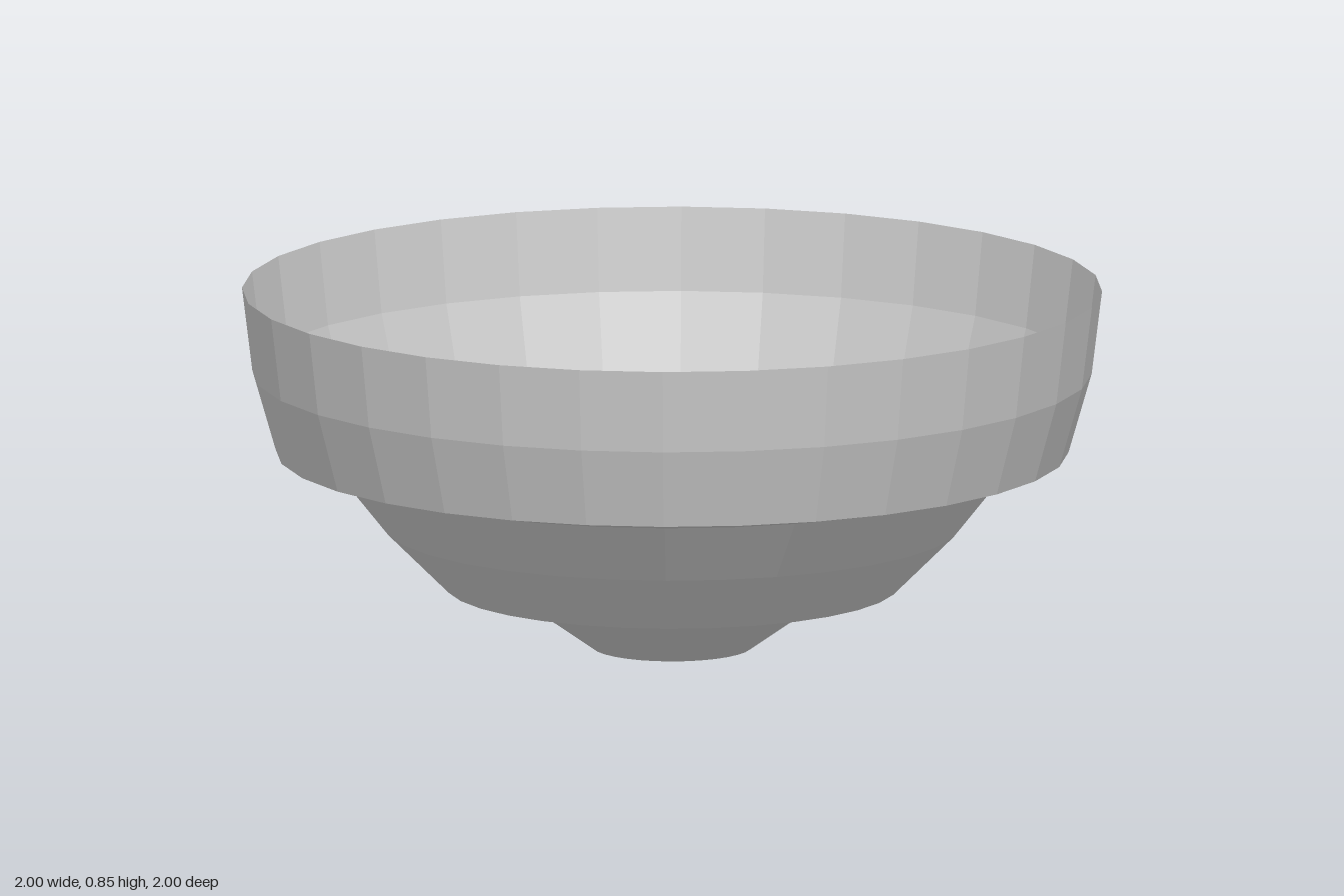
import * as THREE from 'three';

const SEGMENTS = 32;

export function createModel() {
  const group = new THREE.Group();
  group.name = 'steppedBowl';

  const material = new THREE.MeshStandardMaterial({
    color: 0xcccccc,
    flatShading: true,
    side: THREE.DoubleSide,
  });

  // Each part is a thin turned shell: [radius, height] from bottom to top
  const parts = {
    base: [[0, 0], [0.186, 0]],
    foot: [[0.186, 0], [0.361, 0.123]],
    lowerLedge: [[0.361, 0.123], [0.527, 0.144]],
    middleBowl: [[0.527, 0.144], [0.67, 0.286], [0.787, 0.433]],
    upperLedge: [[0.787, 0.433], [0.922, 0.463]],
    rimWall: [[0.922, 0.463], [0.976, 0.65], [1, 0.845]],
  };

  for (const [name, profile] of Object.entries(parts)) {
    const points = profile.map(([r, y]) => new THREE.Vector2(r, y));
    const mesh = new THREE.Mesh(new THREE.LatheGeometry(points, SEGMENTS), material);
    mesh.name = name;
    group.add(mesh);
  }
  return group;
}
